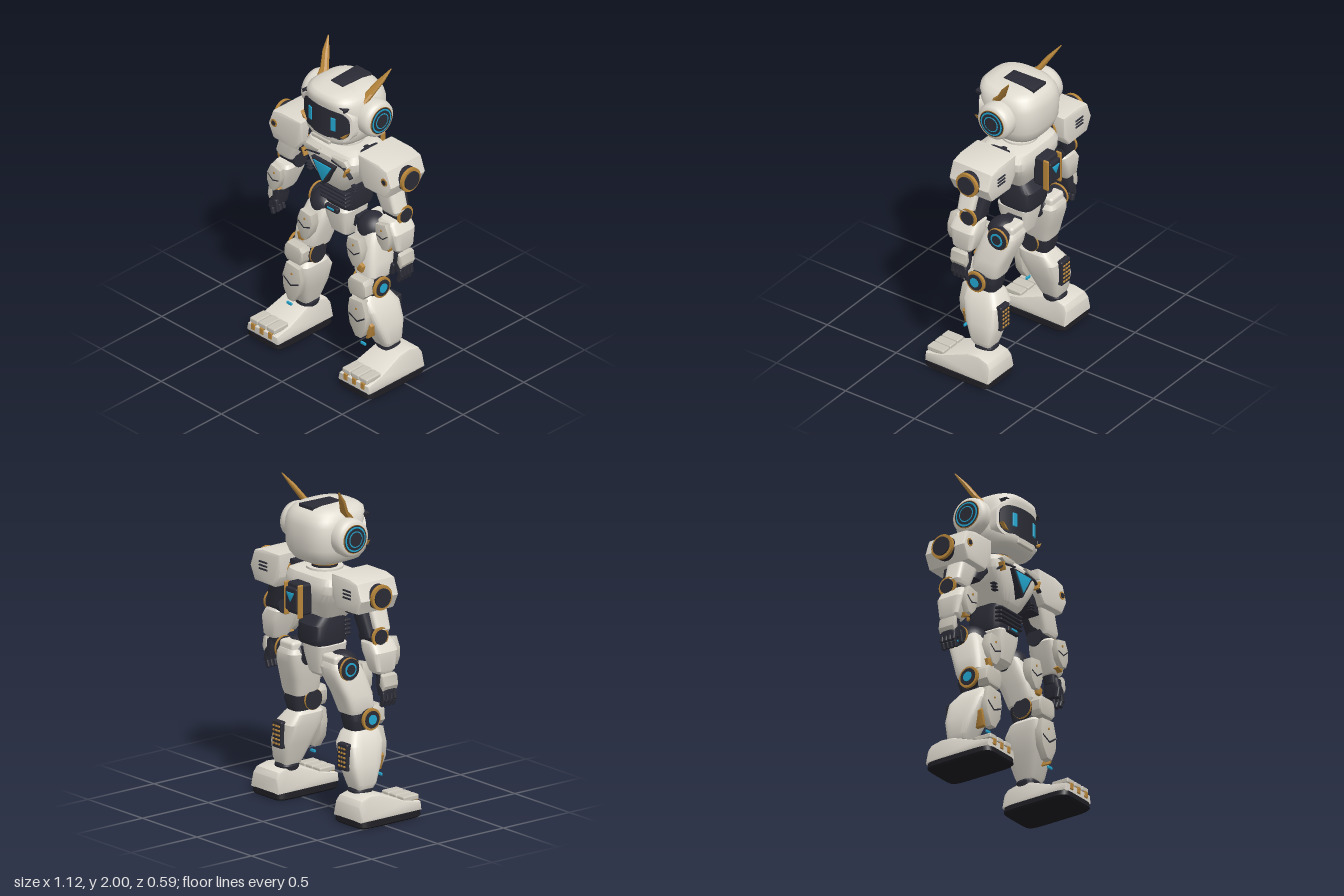
import * as THREE from 'three';
import { toCreasedNormals } from 'three/addons/utils/BufferGeometryUtils.js';
import { RoundedBoxGeometry } from 'three/addons/geometries/RoundedBoxGeometry.js';

const mat = (name, color) => Object.assign(new THREE.MeshStandardMaterial({ color }), { name });
const white = mat('shell white', 0xe0dbd0), panel = mat('panel grey', 0xcbc6ba), dark = mat('joint dark', 0x2b2b36);
const gold = mat('trim gold', 0xb8863a), blue = mat('light blue', 0x22a6cf), black = mat('sole black', 0x1c1c22);

function add(parent, name, geo, material, x = 0, y = 0, z = 0) {
  const m = new THREE.Mesh(geo, material);
  m.name = name;
  m.position.set(x, y, z);
  parent.add(m);
  return m;
}

// Rounded box by centre
function box(parent, name, material, w, h, d, x, y, z, r = 0.008) {
  return add(parent, name, new RoundedBoxGeometry(w, h, d, 2, Math.min(r, w / 2.1, h / 2.1, d / 2.1)), material, x, y, z);
}

// Stacked cross-sections [y, x0, x1, z0, z1], rising in y; e is the squareness of the outline
function loft(parent, name, material, secs, e = 5, n = 24, crease = 0.5) {
  const pos = [], idx = [], pw = (v) => Math.sign(v) * Math.abs(v) ** (2 / e);
  for (const [y, x0, x1, z0, z1] of secs)
    for (let i = 0; i < n; i++) {
      const a = ((i + 0.5) / n) * Math.PI * 2;
      pos.push((x0 + x1) / 2 + pw(Math.cos(a)) * (x1 - x0) / 2, y, (z0 + z1) / 2 + pw(Math.sin(a)) * (z1 - z0) / 2);
    }
  for (let s = 0; s < secs.length - 1; s++)
    for (let i = 0; i < n; i++) {
      const a = s * n + i, b = s * n + (i + 1) % n;
      idx.push(a, a + n, b, b, a + n, b + n);
    }
  const top = (secs.length - 1) * n;
  for (let i = 1; i < n - 1; i++) idx.push(0, i, i + 1, top, top + i + 1, top + i);
  const g = new THREE.BufferGeometry();
  g.setAttribute('position', new THREE.Float32BufferAttribute(pos, 3));
  g.setIndex(idx);
  return add(parent, name, toCreasedNormals(g, crease), material);
}

// Bevelled outline in xy, filling z0..z1
function slabGeo(pts, z0, z1, b) {
  const shape = new THREE.Shape(pts.map((p) => new THREE.Vector2(...p)));
  const g = new THREE.ExtrudeGeometry(shape, { depth: z1 - z0 - 2 * b, bevelEnabled: b > 0, bevelThickness: b, bevelSize: b, bevelOffset: -b, bevelSegments: 2 });
  return toCreasedNormals(g.translate(0, 0, z0 + b), 0.6);
}
const slab = (parent, name, material, pts, z0, z1, b = 0.004) => add(parent, name, slabGeo(pts, z0, z1, b), material);

// Concentric discs on the x axis: [material, radius, x0, x1]
function discs(parent, name, y, z, rings) {
  const g = new THREE.Group();
  g.name = name;
  for (const [m, r, x0, x1] of rings)
    add(g, name + 'Ring', new THREE.CylinderGeometry(r, r, x1 - x0, 32).rotateZ(Math.PI / 2), m, (x0 + x1) / 2, y, z);
  parent.add(g);
}

// Long armour plate with a chevron groove and a bolt
function armour(parent, name, w, h, x, y, z, depth, rot) {
  const g = new THREE.Group();
  g.name = name;
  slab(g, name + 'Plate', panel, [[-.36, .5], [.36, .5], [.5, .12], [.4, -.22], [.1, -.5], [-.2, -.48], [-.46, -.18], [-.5, .2]].map(([a, b]) => [a * w, b * h]), -depth, 0);
  slab(g, name + 'Groove', dark, [[-.42, .1], [0, -.04], [.42, .1], [.42, .06], [0, -.085], [-.42, .06]].map(([a, b]) => [a * w, b * h]), -0.004, 0.002, 0);
  add(g, name + 'Bolt', new THREE.CylinderGeometry(0.007, 0.007, 0.008, 12).rotateX(Math.PI / 2), gold, 0, h * 0.27, 0);
  g.position.set(x, y, z);
  g.rotation.z = rot;
  parent.add(g);
}

// Face panel: rounded and bent back towards its sides
function facePanel(parent, name, material, w, h, d, y, z) {
  const g = new THREE.BoxGeometry(2, 2, d, 20, 10, 1), p = g.attributes.position;
  for (let i = 0; i < p.count; i++) {
    const u = p.getX(i), v = p.getY(i), x = u * Math.sqrt(1 - 0.22 * v ** 4) * w / 2;
    p.setXYZ(i, x, v * Math.sqrt(1 - 0.4 * u ** 6) * h / 2, p.getZ(i) - 1.5 * x * x);
  }
  return add(parent, name, toCreasedNormals(g, 0.6), material, 0, y, z - d / 2);
}

// Copy of a group reflected in x
function mirrored(group) {
  const out = new THREE.Group();
  out.name = group.name.replace('left', 'right');
  group.updateMatrixWorld(true);
  group.traverse((o) => {
    if (!o.isMesh) return;
    let g = o.geometry.clone().applyMatrix4(o.matrixWorld);
    if (g.index) g = g.toNonIndexed();
    for (const key of ['position', 'normal']) {
      const a = g.attributes[key], s = a.array;
      for (let i = 0; i < s.length; i += 3) s[i] *= -1;
      for (let i = 0; i < s.length; i += 9)
        for (let k = 3; k < 6; k++) [s[i + k], s[i + k + 3]] = [s[i + k + 3], s[i + k]];
    }
    add(out, o.name, g, o.material);
  });
  return out;
}

function buildCentre(g) {
  // Head, visor and neck
  loft(g, 'head', white, [[1.52, .13, -.16, .13], [1.535, .165, -.19, .165], [1.57, .195, -.215, .186], [1.62, .208, -.233, .172], [1.70, .213, -.236, .168], [1.76, .21, -.235, .175], [1.80, .2, -.225, .188], [1.835, .182, -.2, .186], [1.855, .15, -.165, .165], [1.864, .09, -.11, .11]]
    .map(([y, w, b, f]) => [y, -w, w, b, f]), 2.9, 48, 0.9);
  facePanel(g, 'visorRim', white, 0.405, 0.225, 0.05, 1.675, 0.18);
  facePanel(g, 'visor', dark, 0.375, 0.19, 0.04, 1.675, 0.186);
  box(g, 'chinPlate', panel, 0.15, 0.026, 0.02, 0, 1.547, 0.178);
  slab(g, 'crestPlate', dark, [[-.05, -.05], [.05, -.05], [.06, .175], [-.06, .175]], 1.845, 1.872, 0.006).rotation.x = -Math.PI / 2;
  const ring = (name, m, r, h, y) => add(g, name, new THREE.CylinderGeometry(r, r, h, 32), m, 0, y, -0.03);
  ring('neck', dark, 0.078, 0.1, 1.49);
  ring('neckRing', gold, 0.086, 0.014, 1.505);
  ring('collar', white, 0.11, 0.03, 1.465);

  // Chest with triangular light
  loft(g, 'chest', white, [[1.16, .085, -.1, .07], [1.19, .105, -.12, .1], [1.29, .17, -.165, .13], [1.36, .213, -.19, .14], [1.41, .218, -.19, .14], [1.45, .2, -.175, .115], [1.468, .16, -.14, .08]]
    .map(([y, w, b, f]) => [y, -w, w, b, f]), 5);
  const tri = (s, y) => [[-s, y + s * .8], [0, y - s * .8], [s, y + s * .8]];
  slab(g, 'chestLightFrame', dark, tri(.098, 1.296), .1, .166);
  slab(g, 'chestLight', blue, tri(.074, 1.303), .15, .172, .002);

  // Waist and pelvis
  loft(g, 'waist', dark, [[1.02, -.108, .108, -.165, .06], [1.05, -.115, .115, -.175, .07], [1.14, -.11, .11, -.17, .07], [1.2, -.1, .1, -.12, .07]], 4);
  for (let i = 0; i < 4; i++) box(g, 'waistRib', dark, 0.215, 0.018, 0.05, 0, 1.065 + i * 0.027, 0.06);
  loft(g, 'pelvis', white, [[.82, -.055, .055, -.09, .02], [.84, -.068, .068, -.11, .045], [.95, -.09, .09, -.135, .075], [1.01, -.1, .1, -.14, .08], [1.025, -.09, .09, -.13, .07]], 5);
  box(g, 'buckle', dark, 0.105, 0.035, 0.03, 0, 1.018, 0.085);
  box(g, 'buckleLight', blue, 0.055, 0.012, 0.01, 0, 1.022, 0.1, 0.002);

  // Back pack
  box(g, 'backPack', dark, 0.13, 0.19, 0.09, 0, 1.315, -0.22, 0.015);
  for (const s of [-1, 1]) box(g, 'packRail', gold, 0.016, 0.205, 0.04, s * 0.062, 1.31, -0.267);
  box(g, 'packFrame', dark, 0.1, 0.14, 0.03, 0, 1.315, -0.274);
  slab(g, 'packLight', blue, tri(.034, 1.33), -.296, -.286, .002);
}

function buildSide(g) {
  // Eye, cheek trim, ear and horn
  box(g, 'eye', blue, 0.034, 0.088, 0.009, 0.095, 1.68, 0.174, 0.004).rotation.y = 0.27;
  slab(g, 'cheekTrim', gold, [[.135, 1.6], [.17, 1.605], [.19, 1.64], [.165, 1.625]], .11, .162);
  slab(g, 'browLine', dark, [[.1, 1.808], [.165, 1.798], [.17, 1.78], [.176, 1.8], [.165, 1.806]], .12, .162, 0);
  const ear = [[0, 0], [.112, 0], [.116, .05], [.108, .078], [.094, .088], [0, .088]].map((p) => new THREE.Vector2(...p));
  add(g, 'ear', toCreasedNormals(new THREE.LatheGeometry(ear, 40).rotateZ(-Math.PI / 2), 0.7), white, 0.195, 1.7, -0.035);
  discs(g, 'earDial', 1.7, -0.035, [[gold, .087, .275, .286], [dark, .083, .275, .288], [blue, .076, .275, .29], [dark, .066, .275, .292], [blue, .05, .275, .2935], [dark, .043, .275, .295]]);
  loft(g, 'horn', gold, [[1.8, .14, .205, -.025, .035], [1.85, .162, .22, -.06, -.02], [1.93, .208, .252, -.105, -.072], [2, .256, .264, -.143, -.135]], 2.6, 8, 0.3);

  // Chest trim
  slab(g, 'collarPlate', panel, [[.05, 1.43], [.075, 1.405], [.15, 1.39], [.19, 1.41], [.16, 1.435]], .1, .15);
  slab(g, 'collarGroove', dark, [[.05, 1.395], [.15, 1.38], [.205, 1.33], [.205, 1.34], [.152, 1.388], [.05, 1.403]], .12, .148, 0);
  slab(g, 'chestSlit', gold, [[.158, 1.34], [.168, 1.335], [.188, 1.385], [.175, 1.39]], .12, .16);
  for (let i = 0; i < 3; i++) box(g, 'chestVent', dark, 0.035, 0.009, 0.03, 0.188 - i * 0.004, 1.258 - i * 0.019, 0.09, 0.003);

  // Shoulder
  discs(g, 'shoulderJoint', 1.39, -0.035, [[dark, .08, .15, .3], [gold, .087, .228, .24]]);
  loft(g, 'armpit', dark, [[1.26, .25, .33, -.09, .05], [1.34, .18, .3, -.1, .06], [1.475, .175, .25, -.1, .04]], 5);
  slab(g, 'shoulderPad', white, [[.235, 1.51], [.24, 1.37], [.29, 1.3], [.47, 1.305], [.512, 1.39], [.475, 1.49], [.4, 1.51]], -.178, .112, .016);
  discs(g, 'shoulderDial', 1.4, -0.035, [[dark, .074, .48, .525], [gold, .076, .515, .535], [dark, .058, .515, .545]]);
  const bolt = (r, z, m) => add(g, 'padBolt', new THREE.CylinderGeometry(r, r, 0.02, 8).rotateX(Math.PI / 2), m, 0.458, 1.415, z);
  bolt(0.026, 0.106, gold);
  bolt(0.016, 0.11, dark);
  for (let i = 0; i < 3; i++) box(g, 'padVent', dark, 0.075, 0.011, 0.012, 0.385, 1.39 + i * 0.022, -0.178, 0.004);

  // Arm
  loft(g, 'upperArmCore', dark, [[1.15, .38, .48, -.09, .03], [1.32, .31, .43, -.11, .03]], 4);
  loft(g, 'upperArm', white, [[1.165, .375, .495, -.04, .055], [1.19, .365, .505, -.05, .065], [1.33, .295, .46, -.06, .07]], 5);
  discs(g, 'elbow', 1.15, -0.02, [[dark, .056, .365, .5], [gold, .06, .49, .503], [dark, .045, .49, .51]]);
  loft(g, 'forearm', white, [[.93, .44, .525, -.05, .06], [.95, .43, .535, -.065, .075], [1.06, .385, .535, -.085, .1], [1.11, .37, .505, -.08, .095], [1.13, .385, .49, -.065, .08]], 5);
  armour(g, 'forearmArmour', 0.11, 0.17, 0.455, 1.035, 0.125, 0.04, 0.22);
  slab(g, 'forearmTrim', gold, [[.435, .95], [.48, .935], [.488, .96], [.45, .97]], .06, .1);

  // Hand
  loft(g, 'wrist', dark, [[.88, .465, .53, -.03, .05], [.95, .45, .515, -.04, .05]], 3);
  loft(g, 'palm', dark, [[.8, .49, .548, -.038, .066], [.86, .475, .55, -.042, .068], [.91, .475, .53, -.035, .06]], 5);
  slab(g, 'handGuard', panel, [[.525, .93], [.515, .86], [.545, .83], [.56, .86], [.55, .92]], -.045, .07, .01);
  for (let i = 0; i < 4; i++) {
    const z = -0.028 + i * 0.028;
    box(g, 'fingerUpper', dark, 0.032, 0.055, 0.024, 0.535, 0.795, z).rotation.z = 0.15;
    box(g, 'fingerTip', dark, 0.028, 0.045, 0.022, 0.525, 0.753, z).rotation.z = -0.3;
  }
  box(g, 'thumb', dark, 0.028, 0.08, 0.028, 0.482, 0.81, 0.066).rotation.z = -0.2;

  // Hip and thigh
  add(g, 'hip', new THREE.SphereGeometry(0.1, 32, 20), dark, 0.195, 0.91, -0.06);
  box(g, 'hipLink', dark, 0.12, 0.08, 0.1, 0.11, 0.93, -0.06);
  loft(g, 'thigh', white, [[.64, .175, .325, -.09, .075], [.67, .165, .335, -.1, .09], [.75, .145, .33, -.125, .085], [.86, .115, .305, -.17, .055], [.92, .11, .288, -.18, .03], [.95, .125, .27, -.17, .005]], 4.5);
  box(g, 'hipGuard', white, 0.13, 0.08, 0.08, 0.195, 0.955, -0.125, 0.02);
  discs(g, 'hipDial', 0.92, -0.09, [[dark, .066, .23, .31], [gold, .07, .293, .305], [dark, .058, .293, .312], [blue, .042, .3, .315], [dark, .03, .3, .318]]);
  armour(g, 'thighArmour', 0.12, 0.19, 0.208, 0.815, 0.115, 0.06, 0.12);
  slab(g, 'thighTrim', gold, [[.225, .7], [.262, .695], [.275, .74], [.24, .755], [.22, .725]], .07, .108);

  // Knee
  loft(g, 'kneeCore', dark, [[.51, .2, .315, -.06, .08], [.6, .19, .335, -.085, .1], [.7, .19, .31, -.08, .06]], 4);
  discs(g, 'kneeDial', 0.605, 0.03, [[dark, .062, .17, .36], [gold, .066, .345, .362], [dark, .052, .345, .368], [blue, .03, .345, .371], [gold, .064, .172, .184]]);
  slab(g, 'kneeCap', panel, [[.21, .55], [.315, .55], [.34, .58], [.335, .645], [.315, .672], [.21, .67], [.19, .64], [.192, .58]], .06, .152, .012);

  // Shin
  loft(g, 'shin', white, [[.2, .275, .395, -.095, .03], [.23, .262, .408, -.105, .045], [.34, .222, .403, -.13, .09], [.46, .182, .375, -.125, .13], [.52, .182, .335, -.085, .13], [.545, .2, .315, -.06, .1]], 4.5);
  armour(g, 'shinArmour', 0.15, 0.25, 0.275, 0.405, 0.155, 0.05, 0.1);
  slab(g, 'shinTrim', gold, [[.315, .275], [.335, .28], [.36, .37], [.348, .385], [.335, .36]], .06, .125);
  box(g, 'shinLight', blue, 0.04, 0.017, 0.012, 0.307, 0.242, 0.135, 0.003);
  box(g, 'calfPack', dark, 0.09, 0.165, 0.04, 0.3, 0.395, -0.128, 0.01);
  for (let i = 0; i < 5; i++)
    for (let j = -1; j < 2; j++) box(g, 'calfStud', gold, 0.016, 0.012, 0.01, 0.3 + j * 0.024, 0.34 + i * 0.027, -0.149, 0.003);

  // Foot
  loft(g, 'ankle', dark, [[.14, .28, .4, -.1, .02], [.19, .27, .4, -.105, .025], [.22, .28, .39, -.09, .02]], 3);
  loft(g, 'sole', black, [[0, .245, .515, -.165, .285], [.01, .236, .524, -.175, .295], [.042, .24, .52, -.172, .292]], 7, 32);
  const foot = slabGeo([[-.17, .04], [.285, .04], [.288, .09], [.17, .112], [.0, .178], [-.08, .185], [-.15, .165], [-.17, .13]], -.135, .135, .012).rotateY(-Math.PI / 2);
  const p = foot.attributes.position;
  for (let i = 0; i < p.count; i++) p.setX(i, p.getX(i) * (1 - 1.9 * (p.getY(i) - 0.04)));
  add(g, 'foot', foot, white, 0.38);
  for (let i = 0; i < 3; i++) {
    const x = 0.313 + i * 0.071;
    box(g, 'toe', panel, 0.066, 0.034, 0.118, x, 0.115, 0.226, 0.009);
    box(g, 'toeTrim', gold, 0.03, 0.042, 0.02, x, 0.082, 0.283, 0.004);
  }
}

export function createModel() {
  const model = new THREE.Group();
  model.name = 'robot';
  const centre = new THREE.Group(), left = new THREE.Group();
  centre.name = 'centreParts';
  left.name = 'leftParts';
  buildCentre(centre);
  buildSide(left);
  model.add(centre, left, mirrored(left));
  return model;
}
